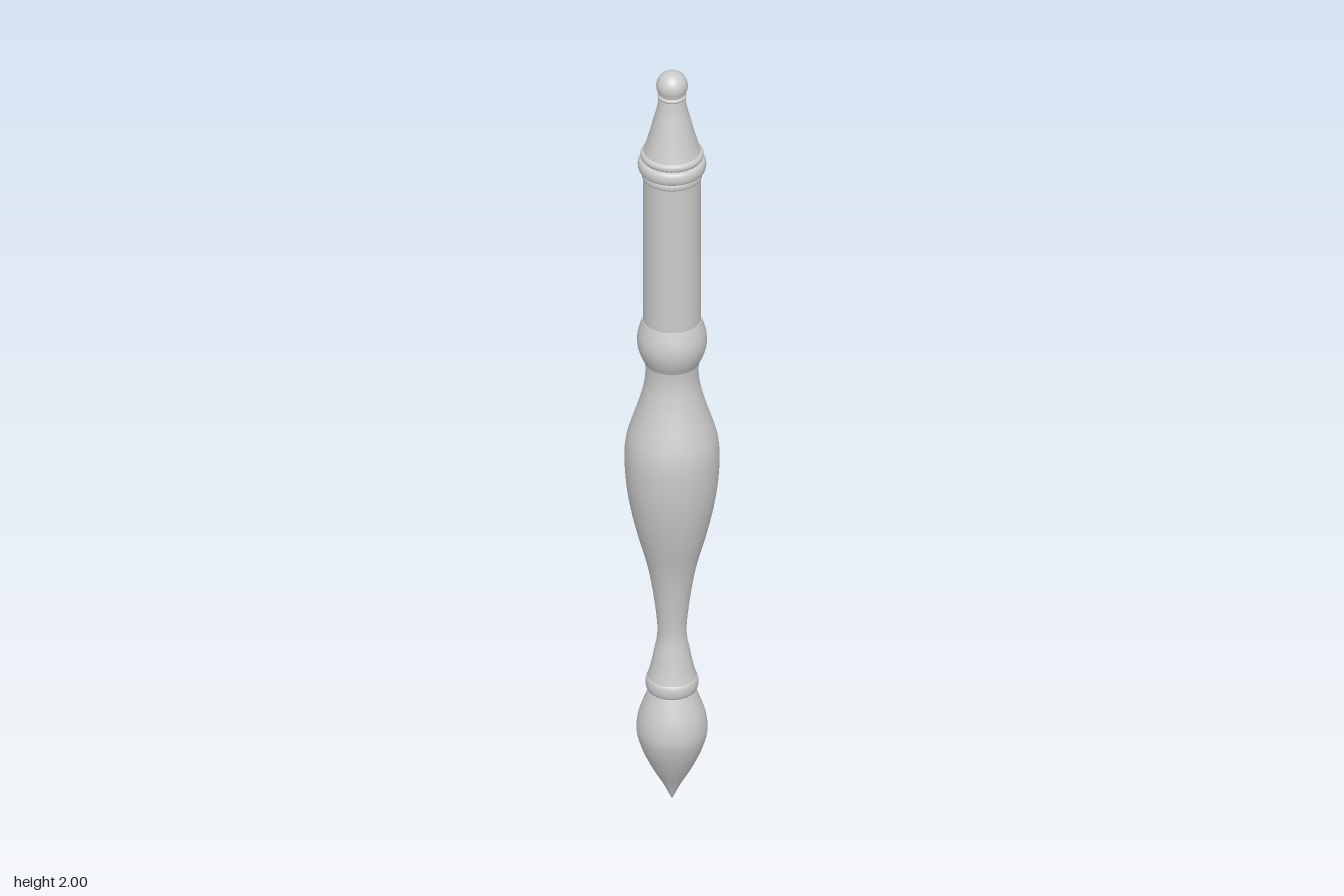
import * as THREE from 'three';

const material = new THREE.MeshStandardMaterial({ color: 0xcccccc });
const SEGMENTS = 40;

// Turned section: a smooth [radius, height] profile spun about the y axis, bottom to top.
function turned(name, profile, samples = 12) {
  const curve = new THREE.SplineCurve(profile.map(([r, y]) => new THREE.Vector2(r, y)));
  const points = samples ? curve.getPoints(samples) : curve.points;
  points.forEach((p) => { p.x = Math.max(p.x, 0); });
  const mesh = new THREE.Mesh(new THREE.LatheGeometry(points, SEGMENTS), material);
  mesh.name = name;
  return mesh;
}

// Rounded ring between two heights, bulging from the inner to the outer radius.
function bead(name, inner, outer, y0, y1) {
  const h = y1 - y0;
  const mid = inner + (outer - inner) * 0.75;
  return turned(name, [
    [inner, y0], [mid, y0 + h * 0.12], [outer, y0 + h * 0.5], [mid, y1 - h * 0.12], [inner, y1],
  ], 12);
}

export function createModel() {
  const model = new THREE.Group();
  model.name = 'turnedSpindle';

  // Pointed foot bulb and its collar
  model.add(turned('footBulb', [
    [0, 0], [0.021, 0.045], [0.046, 0.09], [0.069, 0.14], [0.081, 0.18],
    [0.083, 0.205], [0.079, 0.235], [0.068, 0.27], [0.053, 0.308],
  ], 24));
  model.add(bead('footCollar', 0.05, 0.062, 0.304, 0.346));

  // Slim ankle flowing into the large belly
  model.add(turned('belly', [
    [0.058, 0.34], [0.05, 0.37], [0.042, 0.41], [0.034, 0.46], [0.038, 0.52],
    [0.049, 0.6], [0.061, 0.66], [0.08, 0.73], [0.096, 0.8], [0.107, 0.87],
    [0.111, 0.94], [0.108, 0.99], [0.098, 1.03], [0.085, 1.07], [0.073, 1.11],
    [0.065, 1.145],
  ], 48));

  // Neck and rounded knuckle under the shaft
  model.add(turned('neck', [[0.065, 1.145], [0.062, 1.175], [0.063, 1.205]], 6));
  model.add(turned('knuckle', [
    [0.063, 1.205], [0.074, 1.228], [0.081, 1.255], [0.08, 1.285], [0.069, 1.322],
  ], 14));

  // Straight shaft with rings at its top
  model.add(turned('shaft', [[0.068, 1.322], [0.068, 1.715]], 0));
  model.add(bead('shaftRing', 0.064, 0.071, 1.712, 1.732));
  model.add(bead('crownRing', 0.066, 0.08, 1.73, 1.766));
  model.add(bead('upperCrownRing', 0.06, 0.074, 1.764, 1.786));

  // Tapered cap, small rings and ball finial
  model.add(turned('cap', [
    [0.067, 1.784], [0.055, 1.825], [0.045, 1.865], [0.036, 1.9], [0.031, 1.932],
  ], 12));
  for (const y of [1.93, 1.941]) model.add(bead('finialRing', 0.026, 0.034, y, y + 0.011));
  const ball = new THREE.Mesh(new THREE.SphereGeometry(0.037, SEGMENTS, 20), material);
  ball.name = 'finialBall';
  ball.position.y = 1.963;
  model.add(ball);

  return model;
}
